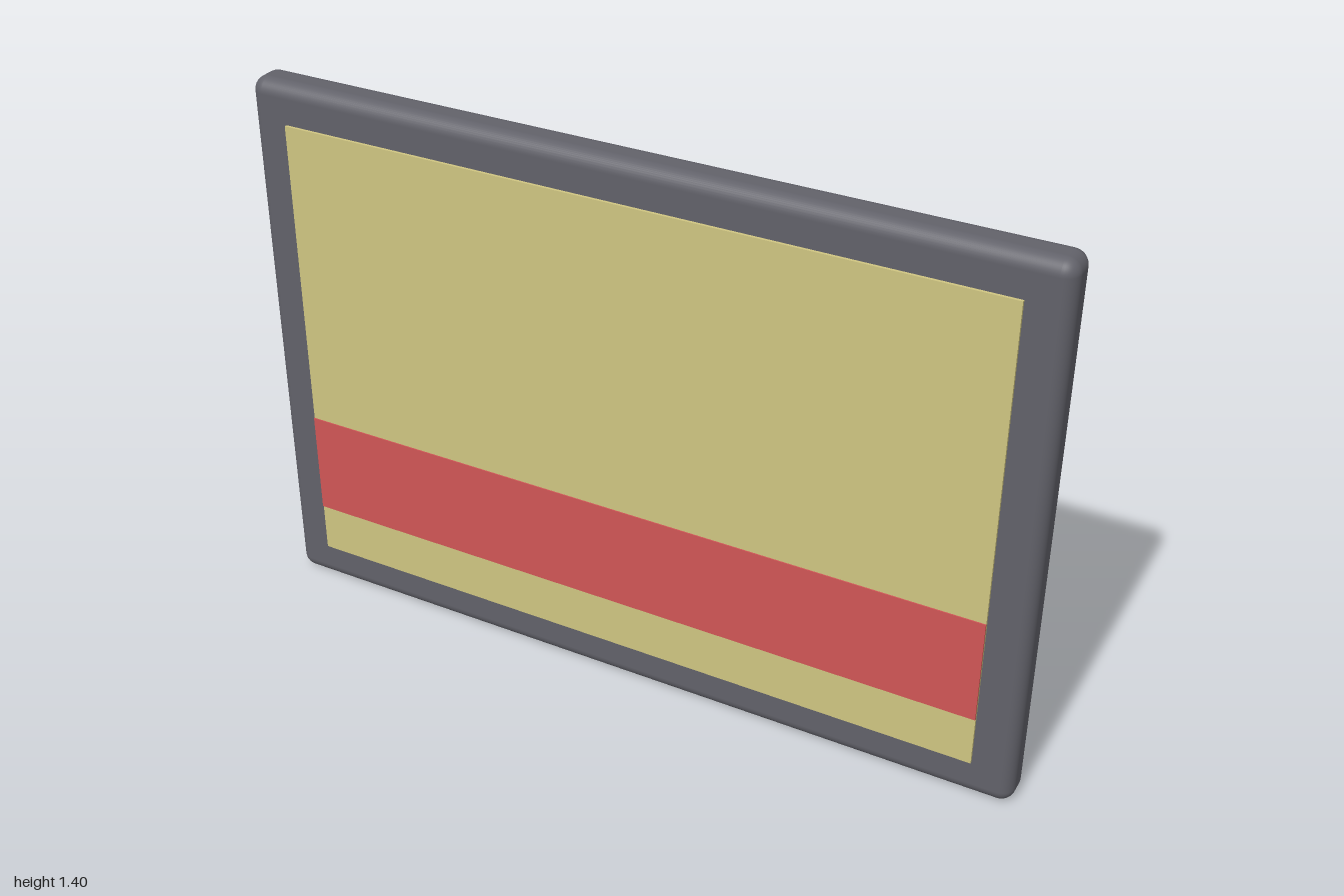
import * as THREE from 'three';
import { RoundedBoxGeometry } from 'three/addons/geometries/RoundedBoxGeometry.js';

export function createModel() {
  const model = new THREE.Group();
  const material = (name, color) => {
    const m = new THREE.MeshStandardMaterial({ color });
    m.name = name;
    return m;
  };
  const grey = material('frame grey', 0x62626a);
  const sand = material('panel sand', 0xcfc581);
  const red = material('stripe red', 0xd05656);
  const green = material('dome green', 0x92de9c);

  const add = (name, geometry, mat, y, z) => {
    const mesh = new THREE.Mesh(geometry, mat);
    mesh.name = name;
    mesh.position.set(0, y, z);
    model.add(mesh);
    return mesh;
  };

  // Rounded slab that forms the border
  add('frame', new RoundedBoxGeometry(2, 1.4, 0.1, 5, 0.035), grey, 0.7, 0.04);

  // Thin face plates and stripes on both sides
  for (const [side, surface, dir] of [['front', 0.09, 1], ['back', -0.01, -1]]) {
    add(side + 'Panel', new THREE.BoxGeometry(1.8, 1.2, 0.007), sand, 0.7, surface + dir * 0.0035);
    add(side + 'Stripe', new THREE.BoxGeometry(1.8, 0.27, 0.004), red, 0.365, surface + dir * 0.008);
  }

  // Flattened dome on the back
  const dome = add('backDome', new THREE.SphereGeometry(1, 48, 32), green, 0.9, -0.03);
  dome.scale.set(0.23, 0.23, 0.07);

  return model;
}
